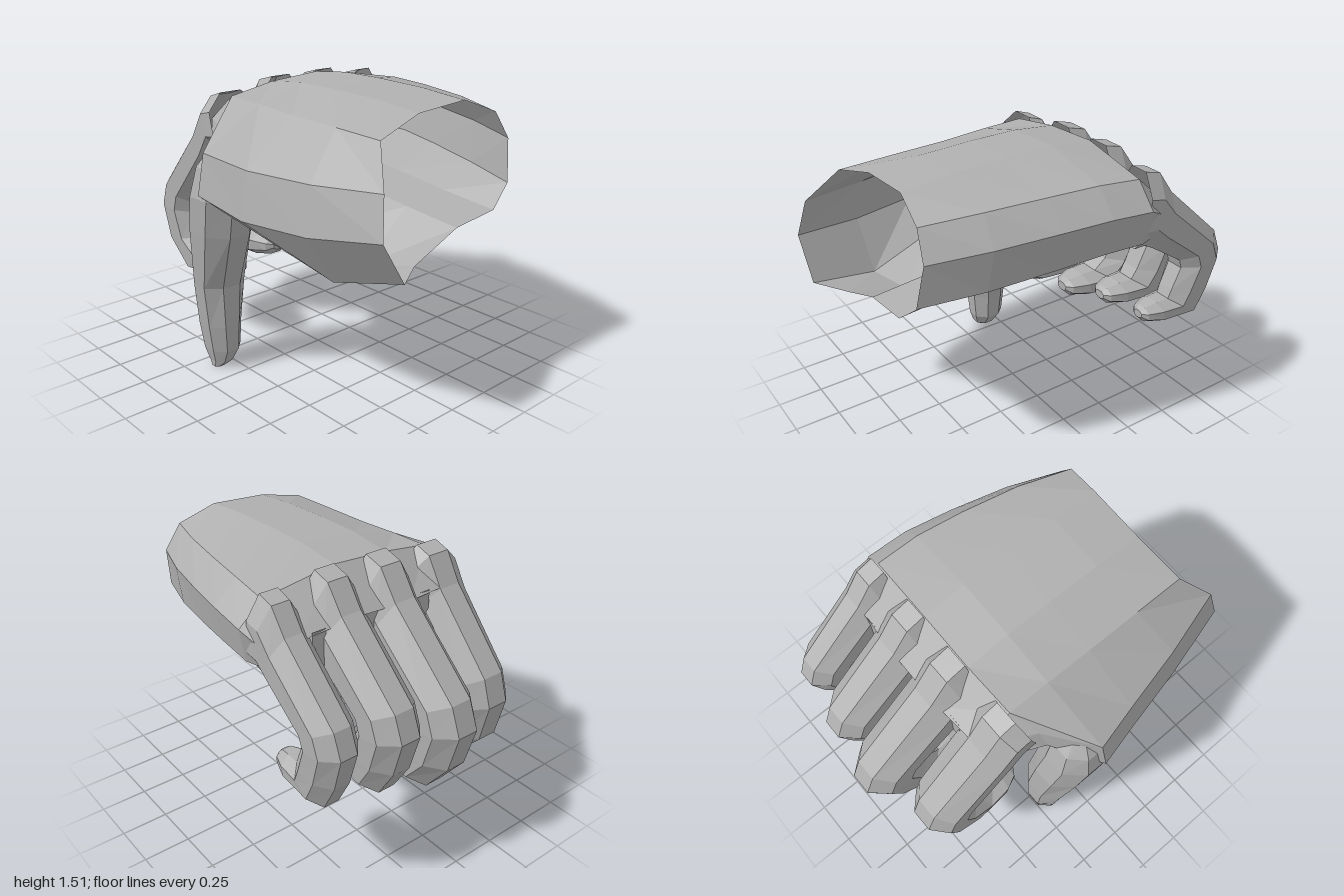
import * as THREE from 'three';

const { lerp } = THREE.MathUtils;

// Skin through a list of closed rings, optionally closing the last one with a fan
function loft(name, rings, material, cap = false) {
  const p = [];
  const tri = (...corners) => corners.forEach((v) => p.push(...v));
  for (let k = 0; k + 1 < rings.length; k++) {
    const r = rings[k], s = rings[k + 1], n = r.length;
    for (let i = 0; i < n; i++) {
      const j = (i + 1) % n;
      tri(r[i], r[j], s[j]);
      tri(r[i], s[j], s[i]);
    }
  }
  if (cap) {
    const e = rings[rings.length - 1], n = e.length;
    const mid = [0, 1, 2].map((a) => e.reduce((t, v) => t + v[a], 0) / n);
    e.forEach((v, i) => tri(v, e[(i + 1) % n], mid));
  }
  const g = new THREE.BufferGeometry();
  g.setAttribute('position', new THREE.Float32BufferAttribute(p, 3));
  g.computeVertexNormals();
  const mesh = new THREE.Mesh(g, material);
  mesh.name = name;
  return mesh;
}

// Chamfered eight-sided cross-section
const OCTAGON = [];
for (let i = 0; i < 8; i++) {
  const t = (i - 0.5) * Math.PI / 4;
  OCTAGON.push([Math.cos(t) * 1.08, Math.sin(t) * 1.08]);
}

// Palm cross-section: top, little-finger side, underside, thumb heel, thumb side.
// The slant pushes the thumb side of the section towards the wrist.
function palmRing([x, slant, top, back, low, heel, side, front]) {
  return [
    [x, top - 0.02, 0.07],
    [x, top, -0.25],
    [x + slant * 0.15, lerp(low, top, 0.86), back * 0.84],
    [x + slant * 0.25, lerp(low, top, 0.6), back],
    [x + slant * 0.4, lerp(low, top, 0.2), back * 0.95],
    [x + slant * 0.5, low, -0.38],
    [x + slant * 0.5, low - 0.03, -0.1],
    [x + slant * 0.5, heel, 0.19],
    [x + slant, heel, front * 0.73],
    [x + slant, side, front],
    [x + slant * 0.8, lerp(side, top, 0.42), front - 0.045],
    [x + slant * 0.15, lerp(side, top, 0.8), 0.35],
  ];
}

// Curled finger, knuckle to tip: outer x, y, inner x, y, width factor, share of root lift, share of tip shift
const CURL = [
  [-0.31, 1.5, -0.27, 1.02, 1, 1, 0],
  [-0.42, 1.47, -0.35, 1.02, 1, 1, 0],
  [-0.53, 1.32, -0.42, 0.98, 0.98, 0.6, 0],
  [-0.94, 0.95, -0.66, 0.82, 0.95, 0, 0],
  [-1, 0.8, -0.68, 0.76, 0.95, 0, 0],
  [-0.94, 0.58, -0.62, 0.62, 0.9, 0, 0],
  [-0.8, 0.4, -0.55, 0.56, 0.85, 0, 1],
  [-0.5, 0.41, -0.46, 0.56, 0.75, 0, 1],
  [-0.38, 0.44, -0.38, 0.54, 0.5, 0, 1],
  [-0.35, 0.47, -0.35, 0.52, 0.25, 0, 1],
];

// Each finger scales the curl about its knuckle; lift thins the root, tip shifts the end
function finger({ name, z, width, knuckle, reach, drop, lift, tip }, material) {
  const rings = CURL.map(([ox, oy, ix, iy, w, root, end]) => {
    const mapX = (x) => -0.26 + (x + 0.26) * reach + end * tip;
    const mapY = (y) => knuckle + (y - 1.48) * drop;
    const innerX = mapX(ix) + root * lift * 0.25, innerY = mapY(iy) + root * lift;
    return OCTAGON.map(([a, b]) => [
      lerp(innerX, mapX(ox), (a + 1) / 2),
      lerp(innerY, mapY(oy), (a + 1) / 2),
      z - b * w * width,
    ]);
  });
  return loft(name, rings, material, true);
}

export function createModel() {
  const hand = new THREE.Group();
  hand.name = 'hand';
  const skin = new THREE.MeshStandardMaterial({ color: 0xb0b0b0, flatShading: true, side: THREE.DoubleSide });
  skin.name = 'plain grey';

  // Palm, from the open wrist to the finger webs
  const palm = [
    [0.77, 0.23, 1.48, -0.54, 0.93, 0.78, 1, 0.52],
    [0.5, 0.12, 1.505, -0.64, 0.96, 0.69, 0.95, 0.62],
    [0.2, 0.05, 1.515, -0.71, 1, 0.79, 0.95, 0.7],
    [-0.06, 0.05, 1.515, -0.755, 1.03, 0.93, 1.03, 0.765],
    [-0.3, 0.1, 1.49, -0.77, 1.03, 1.09, 1.17, 0.53],
    [-0.5, 0.16, 1.3, -0.7, 1.06, 1.14, 1.18, 0.47],
  ];
  hand.add(loft('palm', palm.map(palmRing), skin));

  // Four fingers
  [
    { name: 'indexFinger', z: 0.345, width: 0.155, knuckle: 1.43, reach: 0.83, drop: 0.99, lift: 0.17, tip: 0.05 },
    { name: 'middleFinger', z: 0, width: 0.15, knuckle: 1.475, reach: 1, drop: 1, lift: 0, tip: 0 },
    { name: 'ringFinger', z: -0.31, width: 0.14, knuckle: 1.48, reach: 0.92, drop: 0.91, lift: 0, tip: -0.03 },
    { name: 'littleFinger', z: -0.62, width: 0.12, knuckle: 1.45, reach: 0.84, drop: 0.84, lift: 0, tip: -0.04 },
  ].forEach((f) => hand.add(finger(f, skin)));

  // Webs closing the gaps between neighbouring fingers
  for (const z of [0.17, -0.16, -0.475]) {
    const web = new THREE.Mesh(new THREE.PlaneGeometry(0.08, 0.24), skin);
    web.name = 'fingerWeb';
    web.rotation.y = -Math.PI / 2;
    web.position.set(-0.48, 1.17, z);
    hand.add(web);
  }

  // Thumb pointing down: centre x, y, z, half sizes along x and z
  const thumb = [
    [-0.04, 1.25, 0.58, 0.05, 0.06],
    [-0.04, 1.15, 0.585, 0.13, 0.13],
    [-0.04, 1, 0.6, 0.17, 0.15],
    [-0.09, 0.8, 0.585, 0.165, 0.145],
    [-0.165, 0.48, 0.555, 0.11, 0.13],
    [-0.17, 0.25, 0.555, 0.11, 0.105],
    [-0.165, 0.1, 0.55, 0.095, 0.09],
    [-0.155, 0.03, 0.565, 0.06, 0.06],
    [-0.15, 0, 0.59, 0.03, 0.035],
  ].map(([x, y, z, hx, hz]) => OCTAGON.map(([a, b]) => [x + a * hx, y, z + b * hz]));
  hand.add(loft('thumb', thumb, skin, true));

  return hand;
}
